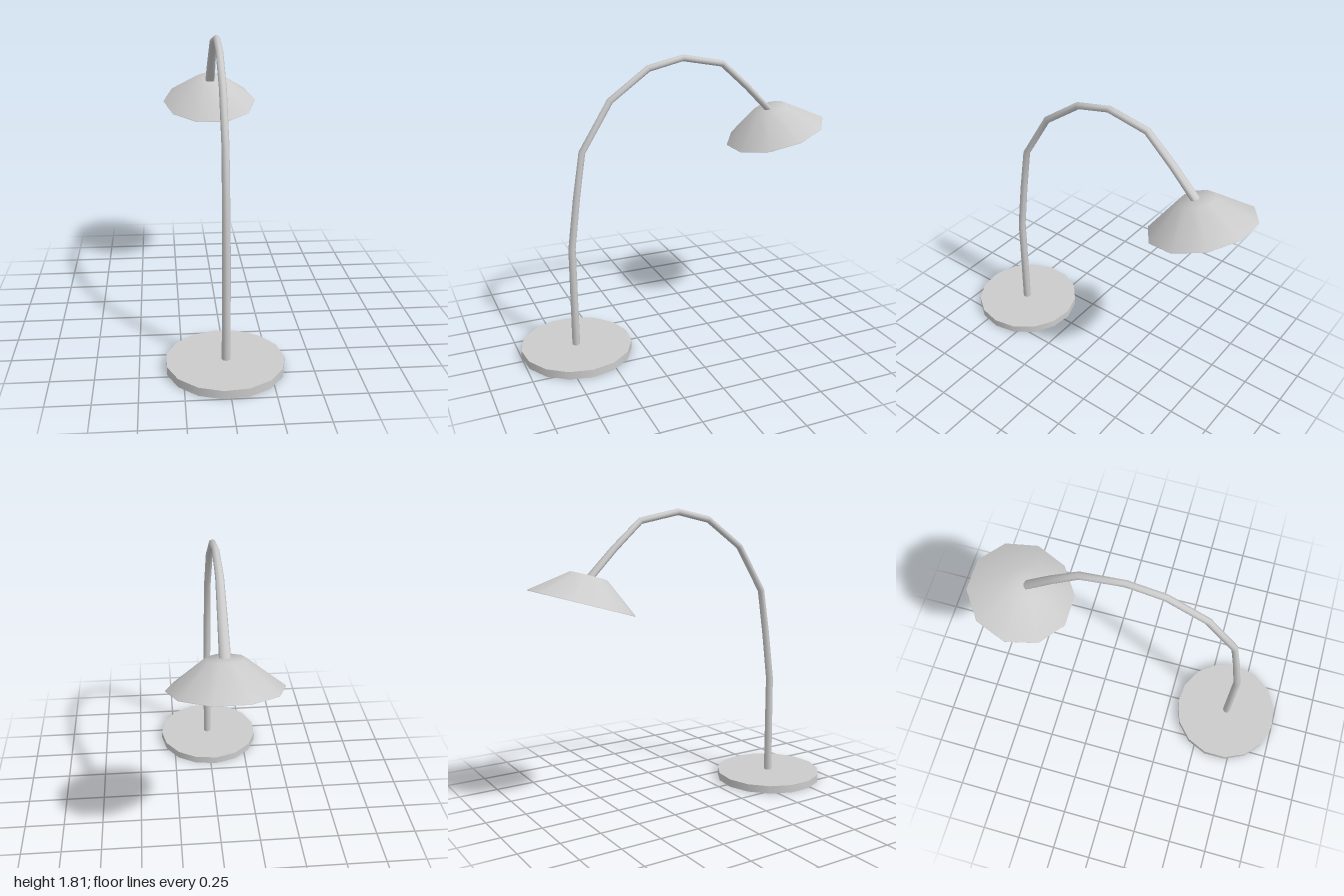
import * as THREE from 'three';

const grey = new THREE.MeshStandardMaterial({ color: 0xcccccc });

function part(name, geometry, parent) {
  const mesh = new THREE.Mesh(geometry, grey);
  mesh.name = name;
  parent.add(mesh);
  return mesh;
}

// Sweeps an octagonal ring along [z, y, half thickness, half width] stations in the x = 0 plane
function sweepStem(stations, sides) {
  const positions = [], index = [];
  stations.forEach(([z, y, r, rx], i) => {
    const a = stations[Math.max(i - 1, 0)];
    const b = stations[Math.min(i + 1, stations.length - 1)];
    const tangent = new THREE.Vector2(b[0] - a[0], b[1] - a[1]).normalize();
    for (let j = 0; j < sides; j++) {
      const t = (j / sides) * Math.PI * 2;
      const n = r * Math.cos(t);
      positions.push(rx * Math.sin(t), y - n * tangent.x, z + n * tangent.y);
      if (i === 0) continue;
      const k = (j + 1) % sides;
      const p = (i - 1) * sides, q = i * sides;
      index.push(p + j, p + k, q + j, p + k, q + k, q + j);
    }
  });
  const geometry = new THREE.BufferGeometry();
  geometry.setAttribute('position', new THREE.Float32BufferAttribute(positions, 3));
  geometry.setIndex(index);
  geometry.computeVertexNormals();
  return geometry;
}

function lathe(points) {
  const profile = points.map(([r, y]) => new THREE.Vector2(r, y));
  return new THREE.LatheGeometry(profile, 10, Math.PI / 2);
}

export function createModel() {
  const lamp = new THREE.Group();
  lamp.name = 'deskLamp';

  // Flat disc base
  const base = part('base', new THREE.CylinderGeometry(0.345, 0.345, 0.05, 15, 1, false, Math.PI / 2), lamp);
  base.position.set(-0.005, 0.025, 0.656);

  // Arched stem, widening where it meets the shade
  part('stem', sweepStem([
    [0.66, 0.04, 0.025, 0.026],
    [0.66, 0.69, 0.023, 0.024],
    [0.62, 1.0, 0.022, 0.023],
    [0.575, 1.285, 0.021, 0.022],
    [0.395, 1.575, 0.021, 0.022],
    [0.155, 1.747, 0.021, 0.022],
    [-0.065, 1.795, 0.02, 0.021],
    [-0.325, 1.745, 0.02, 0.024],
    [-0.5, 1.59, 0.02, 0.028],
    [-0.66, 1.43, 0.02, 0.032],
  ], 8), lamp);

  // Tilted ten-sided shade with its lining and bulb
  const head = new THREE.Group();
  head.name = 'lampHead';
  head.position.set(0, 1.285, -0.71);
  head.rotation.x = 0.285;
  lamp.add(head);

  part('shade', lathe([[0.318, 0], [0.318, 0.004], [0.11, 0.163], [0, 0.163]]), head);
  part('shadeLining', lathe([[0, 0.153], [0.106, 0.153], [0.304, 0], [0.318, 0]]), head);
  part('bulb', new THREE.SphereGeometry(0.047, 14, 10), head).position.y = 0.108;

  return lamp;
}
